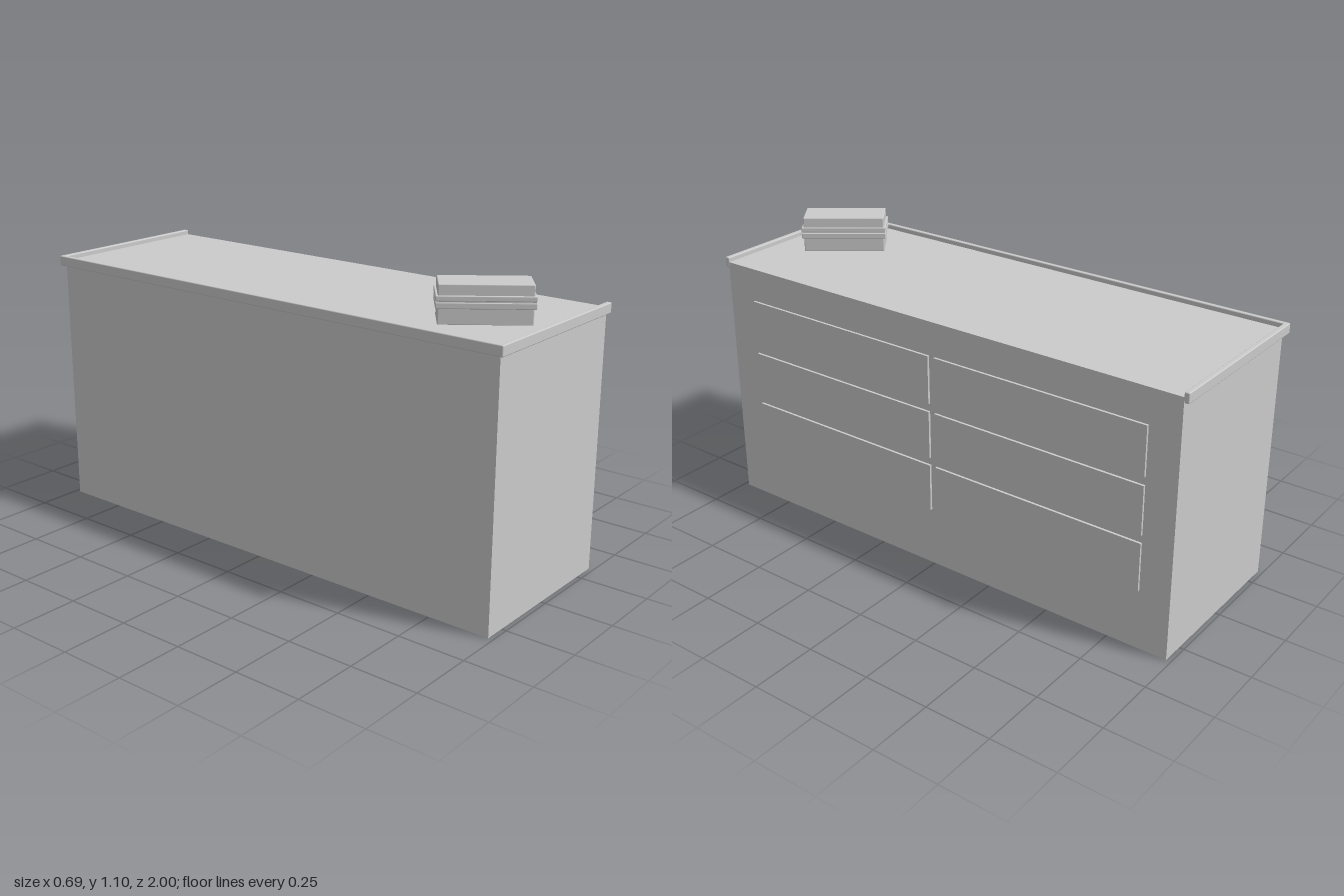
import * as THREE from 'three';
import { RoundedBoxGeometry } from 'three/addons/geometries/RoundedBoxGeometry.js';

const material = new THREE.MeshStandardMaterial({ color: 0xcccccc });

// Box given by its lower and upper corners; optional edge radius.
function block(parent, name, [x0, y0, z0], [x1, y1, z1], radius = 0) {
  const size = [x1 - x0, y1 - y0, z1 - z0];
  const geometry = radius
    ? new RoundedBoxGeometry(...size, 2, radius)
    : new THREE.BoxGeometry(...size);
  const mesh = new THREE.Mesh(geometry, material);
  mesh.name = name;
  mesh.position.set((x0 + x1) / 2, (y0 + y1) / 2, (z0 + z1) / 2);
  parent.add(mesh);
  return mesh;
}

export function createModel() {
  const model = new THREE.Group();
  model.name = 'drawerCabinet';

  // Cabinet body with its worktop
  block(model, 'cabinetBody', [-0.33, 0, -0.982], [0.337, 0.965, 0.982]);

  // Raised rim along the back edge and both ends, open on the drawer side
  const rim = new THREE.Group();
  rim.name = 'worktopRim';
  model.add(rim);
  block(rim, 'longRim', [-0.347, 0.945, -1], [-0.329, 0.983, 1], 0.004);
  for (const side of [-1, 1]) {
    const z = [side * 0.981, side * 1].sort((a, b) => a - b);
    block(rim, 'endRim', [-0.347, 0.945, z[0]], [0.338, 0.983, z[1]], 0.004);
  }

  // Two columns of three drawer fronts
  const drawers = new THREE.Group();
  drawers.name = 'drawers';
  model.add(drawers);
  for (const [z0, z1] of [[-0.866, -0.017], [0.008, 0.856]]) {
    for (const y of [0.228, 0.441, 0.655]) {
      block(drawers, 'drawerFront', [0.33, y, z0], [0.346, y + 0.183, z1]);
    }
  }

  // Small lidded box standing at an angle on the worktop
  const box = new THREE.Group();
  box.name = 'liddedBox';
  box.position.set(-0.072, 0.963, 0.757);
  box.rotation.y = 0.643;
  model.add(box);
  const layer = (name, y0, y1, width, length, radius) =>
    block(box, name, [-width / 2, y0, -length / 2], [width / 2, y1, length / 2], radius);
  layer('boxBase', 0, 0.08, 0.132, 0.308, 0.004);
  layer('boxLid', 0.076, 0.135, 0.132, 0.308, 0.004);
  layer('lowerBand', 0.055, 0.076, 0.147, 0.323, 0.003);
  layer('upperBand', 0.08, 0.098, 0.147, 0.323, 0.003);
  layer('bandSeam', 0.07, 0.085, 0.141, 0.317, 0);

  return model;
}
